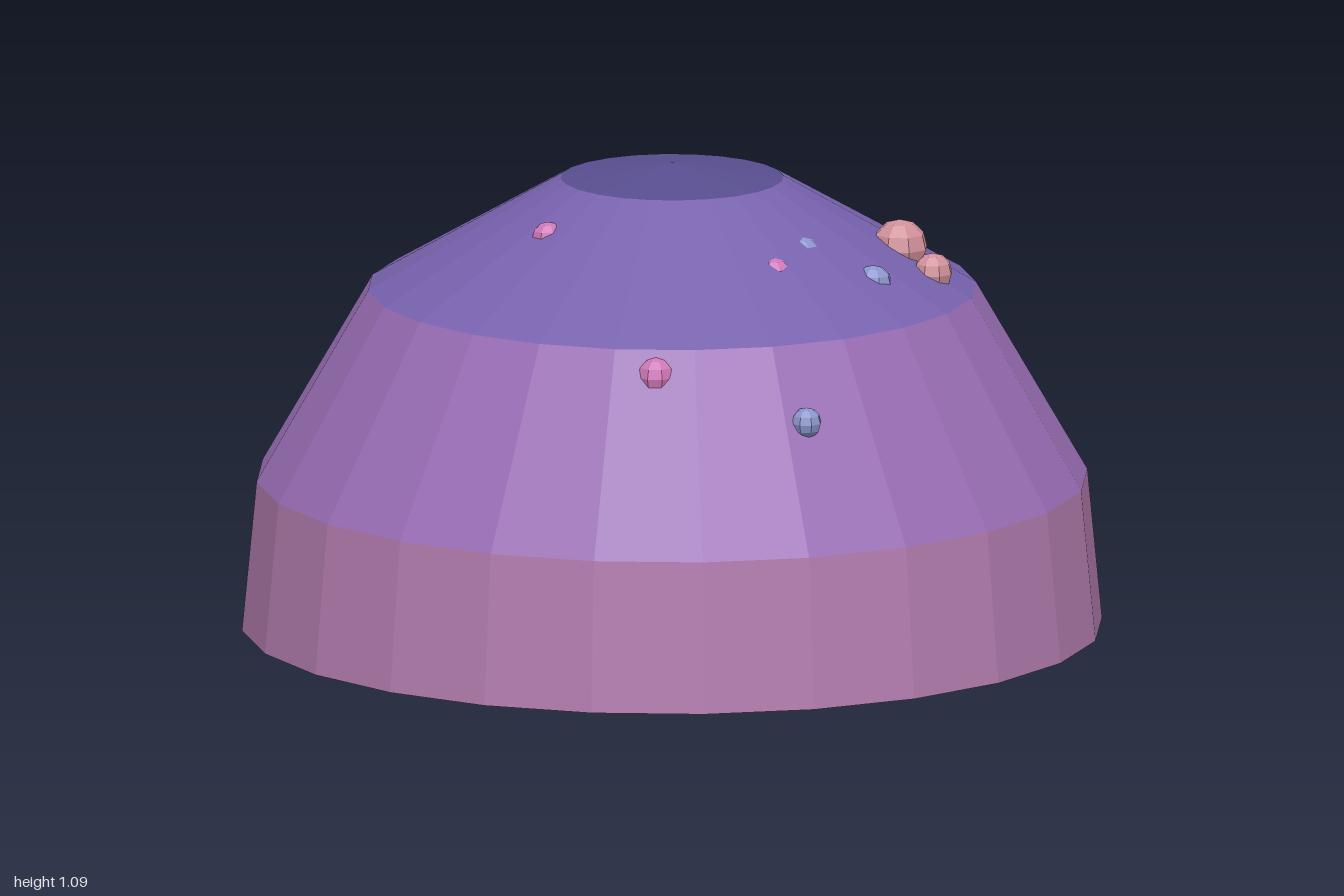
import * as THREE from 'three';

export function createModel() {
  const model = new THREE.Group();
  model.name = 'spottedDome';

  const material = (color, side = THREE.FrontSide) =>
    new THREE.MeshStandardMaterial({ color, flatShading: true, side });

  // Open hollow shell: one 24-sided coloured band between each pair of rings
  const rings = [[1, 0], [0.966, 0.353], [0.707, 0.801], [0.259, 1.06], [0, 1.094]];
  const bands = [
    ['rimBand', 0xb27cae],
    ['lowerBand', 0x9a6eb6],
    ['upperBand', 0x7862ae],
    ['topCap', 0x584e90],
  ];
  const shell = new THREE.Group();
  shell.name = 'shell';
  bands.forEach(([name, color], i) => {
    const profile = [rings[i], rings[i + 1]].map(([r, y]) => new THREE.Vector2(r, y));
    const band = new THREE.Mesh(
      new THREE.LatheGeometry(profile, 24), material(color, THREE.DoubleSide));
    band.name = name;
    shell.add(band);
  });
  model.add(shell);

  // Small faceted beads sunk into the shell wall: x, y, z, radius
  const beads = {
    pinkBead: {
      color: 0xd0909a,
      spots: [
        [0.49, 0.9, -0.2, 0.067], [0.59, 0.855, -0.17, 0.047],
        [-0.615, 0.43, -0.69, 0.038], [-0.48, 0.61, -0.62, 0.045],
        [-0.58, 0.69, 0.37, 0.058], [-0.69, 0.725, 0.09, 0.04],
      ],
    },
    blueBead: {
      color: 0x8c96cc,
      spots: [
        [-0.88, 0.49, -0.085, 0.057], [0.6, 0.635, 0.525, 0.036],
        [0.54, 0.865, 0.045, 0.045], [0, 0.42, -0.89, 0.05],
        [-0.87, 0.28, -0.1, 0.068], [-0.79, 0.53, 0.08, 0.05],
        [0.13, 0.63, -0.75, 0.045], [0.39, 0.93, 0.11, 0.045],
      ],
    },
    magentaBead: {
      color: 0xd078b8,
      spots: [
        [0.275, 0.74, 0.655, 0.045], [-0.155, 0.965, 0.34, 0.04],
        [-0.9, 0.34, 0.15, 0.034], [0.24, 0.46, -0.82, 0.045],
        [0.38, 0.905, 0.24, 0.045],
      ],
    },
  };
  for (const [name, { color, spots }] of Object.entries(beads)) {
    const beadMaterial = material(color);
    for (const [x, y, z, r] of spots) {
      const bead = new THREE.Mesh(new THREE.SphereGeometry(r, 8, 6), beadMaterial);
      bead.name = name;
      bead.position.set(x, y, z);
      model.add(bead);
    }
  }
  return model;
}
